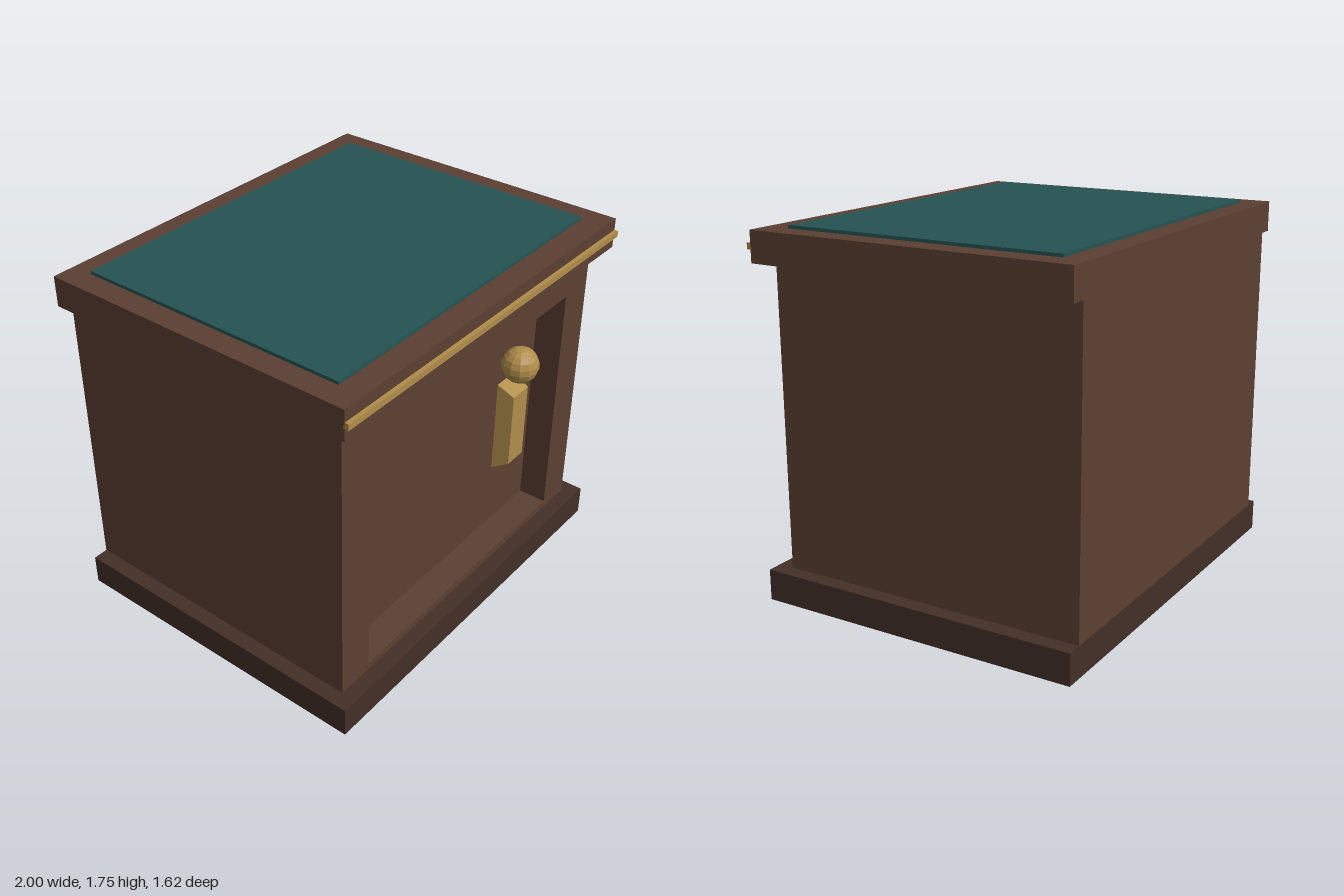
import * as THREE from 'three';

const mat = (color) => new THREE.MeshStandardMaterial({ color, flatShading: true });

export function createModel() {
  const model = new THREE.Group();
  const wood = mat(0x5c4033);
  const darkWood = mat(0x432f28);
  const brass = mat(0xb08d4a);
  const felt = mat(0x265353);

  const add = (name, geometry, material) => {
    const mesh = new THREE.Mesh(geometry, material);
    mesh.name = name;
    model.add(mesh);
    return mesh;
  };

  // Box given by its limits on each axis
  const slab = (name, [x0, x1], [y0, y1], [z0, z1], material) =>
    add(name, new THREE.BoxGeometry(x1 - x0, y1 - y0, z1 - z0), material)
      .position.set((x0 + x1) / 2, (y0 + y1) / 2, (z0 + z1) / 2);

  const back = -0.81, recess = 0.57, front = 0.715, lip = 0.79;

  // Plinth, cabinet core and overhanging top, all flush at the back
  slab('plinth', [-1, 1], [0, 0.15], [back, lip], darkWood);
  slab('cabinetBody', [-0.925, 0.925], [0.15, 1.593], [back, recess], wood);
  slab('topBoard', [-1, 1], [1.593, 1.74], [back, lip], wood);
  slab('topInlay', [-0.887, 0.887], [1.74, 1.755], [-0.7, 0.67], felt);
  slab('brassTrim', [-1, 1], [1.653, 1.682], [lip - 0.01, 0.81], brass);

  // Front frame around the recessed door
  const rect = (path, x, y0, y1) =>
    path.moveTo(-x, y0).lineTo(x, y0).lineTo(x, y1).lineTo(-x, y1).closePath();
  const frame = new THREE.Shape();
  rect(frame, 0.925, 0.15, 1.593);
  const opening = new THREE.Path();
  rect(opening, 0.742, 0.188, 1.41);
  frame.holes.push(opening);
  const frameGeo = new THREE.ExtrudeGeometry(frame, { depth: front - recess, bevelEnabled: false });
  add('doorFrame', frameGeo, wood).position.z = recess;

  // Faceted round knob
  add('knob', new THREE.SphereGeometry(0.088, 12, 9), brass).position.set(0.374, 1.218, 0.715);

  // Handle: a block whose front face is drawn in on all sides
  const handle = new THREE.BoxGeometry(0.155, 0.49, 0.085);
  const p = handle.attributes.position;
  for (let i = 0; i < p.count; i++) {
    if (p.getZ(i) > 0) {
      p.setX(i, Math.sign(p.getX(i)) * 0.062);
      p.setY(i, Math.sign(p.getY(i)) * 0.196);
    }
  }
  handle.computeVertexNormals();
  add('handle', handle, brass).position.set(0.507, 0.773, recess + 0.0425);

  return model;
}
